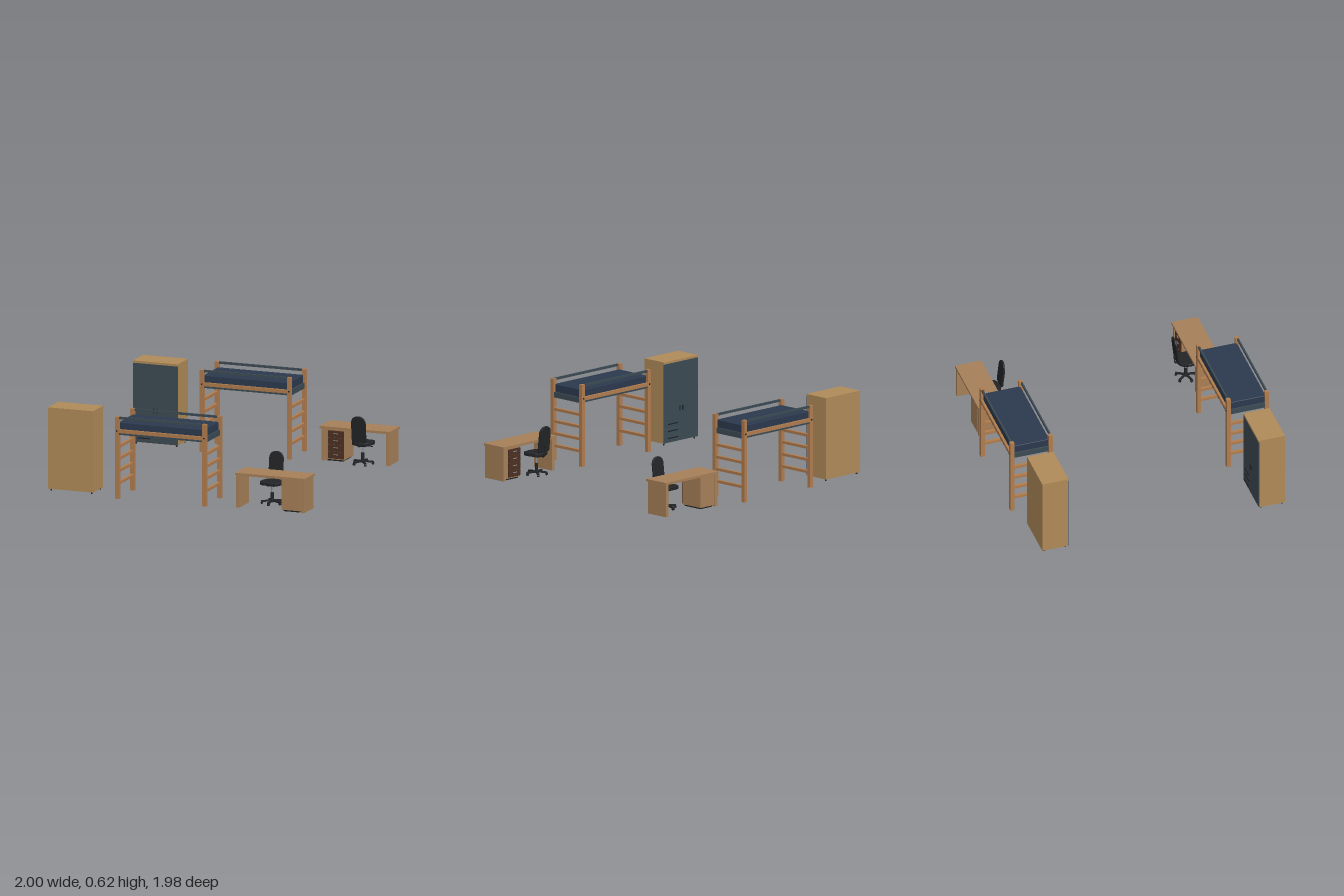
import * as THREE from 'three';
import { RoundedBoxGeometry } from 'three/addons/geometries/RoundedBoxGeometry.js';

const mat = (color) => new THREE.MeshStandardMaterial({ color });
const M = {
  oak: mat(0xb08a58), deskWood: mat(0xa67f58), bedWood: mat(0xb07c4e), navy: mat(0x2b394e),
  slate: mat(0x3c4a53), drawer: mat(0x4c3023), black: mat(0x232426), metal: mat(0x8a8c8e), dark: mat(0x1d2022),
};

function add(parent, name, geo, material, x = 0, y = 0, z = 0) {
  const m = new THREE.Mesh(geo, material);
  m.name = name;
  m.position.set(x, y, z);
  parent.add(m);
  return m;
}

// Box given by its minimum and maximum on each axis
function box(parent, name, material, [x0, x1], [y0, y1], [z0, z1]) {
  return add(parent, name, new THREE.BoxGeometry(x1 - x0, y1 - y0, z1 - z0), material,
    (x0 + x1) / 2, (y0 + y1) / 2, (z0 + z1) / 2);
}

function group(name) {
  const g = new THREE.Group();
  g.name = name;
  return g;
}

function wardrobe() {
  const g = group('wardrobe');
  box(g, 'cabinet', M.oak, [-0.175, 0.175], [0.015, 0.618], [-0.1, 0.094]);
  box(g, 'cabinetTop', M.oak, [-0.175, 0.175], [0.603, 0.618], [0.094, 0.1]);
  // Tall door on the right, shorter door over three drawers on the left
  box(g, 'rightDoor', M.slate, [0.001, 0.173], [0.017, 0.6], [0.094, 0.1]);
  box(g, 'leftDoor', M.slate, [-0.173, -0.001], [0.172, 0.6], [0.094, 0.1]);
  for (let i = 0; i < 3; i++) {
    const y = 0.017 + i * 0.052;
    box(g, 'drawerFront', M.slate, [-0.173, -0.001], [y, y + 0.05], [0.094, 0.1]);
    box(g, 'drawerHandle', M.dark, [-0.135, -0.04], [y + 0.029, y + 0.035], [0.1, 0.108]);
  }
  for (const x of [-0.014, 0.014])
    box(g, 'doorHandle', M.dark, [x - 0.003, x + 0.003], [0.24, 0.275], [0.1, 0.107]);
  for (const x of [-0.158, 0.158]) for (const z of [-0.08, 0.08])
    add(g, 'foot', new THREE.CylinderGeometry(0.006, 0.006, 0.016, 12), M.dark, x, 0.008, z);
  return g;
}

function bed() {
  const g = group('loftBed');
  for (const sx of [-1, 1]) {
    for (const sz of [-1, 1]) {
      box(g, 'post', M.bedWood, [sx * 0.339 - 0.015, sx * 0.339 + 0.015], [0, 0.607],
        [sz * 0.146 - 0.015, sz * 0.146 + 0.015]);
      const bolt = add(g, 'bolt', new THREE.CylinderGeometry(0.006, 0.006, 0.004, 12), M.dark,
        sx * 0.339, 0.503, sz * 0.162);
      bolt.rotation.x = Math.PI / 2;
    }
    // Ladder rungs at each end
    for (let i = 0; i < 4; i++) {
      const y = 0.112 + i * 0.09;
      box(g, 'rung', M.bedWood, [sx * 0.339 - 0.011, sx * 0.339 + 0.011], [y - 0.01, y + 0.01], [-0.132, 0.132]);
    }
    box(g, 'endRail', M.slate, [sx * 0.337 - 0.009, sx * 0.337 + 0.009], [0.468, 0.508], [-0.132, 0.132]);
  }
  // Long side rails and guard rails
  for (const sz of [-1, 1]) {
    box(g, 'sideRail', M.bedWood, [-0.325, 0.325], [0.488, 0.514], [sz * 0.15 - 0.01, sz * 0.15 + 0.01]);
    box(g, 'lowerRail', M.slate, [-0.325, 0.325], [0.474, 0.488], [sz * 0.147 - 0.008, sz * 0.147 + 0.008]);
    box(g, 'guardRail', M.slate, [-0.325, 0.325], [0.59, 0.607], [sz * 0.149 - 0.006, sz * 0.149 + 0.006]);
  }
  box(g, 'bedBase', M.dark, [-0.328, 0.328], [0.477, 0.492], [-0.14, 0.14]);
  add(g, 'mattress', new RoundedBoxGeometry(0.668, 0.073, 0.284, 2, 0.005), M.navy, 0, 0.5285, 0);
  return g;
}

function desk() {
  const g = group('desk');
  box(g, 'desktop', M.deskWood, [-0.272, 0.272], [0.238, 0.256], [-0.1, 0.1]);
  for (const sx of [-1, 1])
    box(g, 'sidePanel', M.deskWood, [sx * 0.251 - 0.013, sx * 0.251 + 0.013], [0, 0.238], [-0.096, 0.09]);
  // Drawer pedestal
  box(g, 'pedestal', M.deskWood, [-0.232, -0.088], [0.012, 0.238], [-0.098, 0.085]);
  box(g, 'pedestalPlinth', M.dark, [-0.22, -0.1], [0, 0.012], [-0.085, 0.075]);
  for (let i = 0; i < 4; i++) {
    const y = 0.02 + i * 0.052;
    box(g, 'drawerFront', M.drawer, [-0.21, -0.09], [y, y + 0.05], [0.085, 0.092]);
    box(g, 'drawerHandle', M.metal, [-0.168, -0.132], [y + 0.028, y + 0.033], [0.092, 0.097]);
  }
  return g;
}

function chair() {
  const g = group('officeChair');
  // Five-star base with casters
  for (let i = 0; i < 5; i++) {
    const arm = group('baseArm');
    arm.rotation.y = i * Math.PI * 2 / 5 + Math.PI / 2;
    const leg = box(arm, 'leg', M.black, [0.005, 0.08], [0.017, 0.029], [-0.007, 0.007]);
    leg.rotation.z = -0.1;
    const wheel = add(arm, 'caster', new THREE.CylinderGeometry(0.009, 0.009, 0.016, 14), M.black, 0.074, 0.009, 0);
    wheel.rotation.x = Math.PI / 2;
    g.add(arm);
  }
  add(g, 'hub', new THREE.CylinderGeometry(0.013, 0.017, 0.02, 16), M.black, 0, 0.025, 0);
  add(g, 'columnSleeve', new THREE.CylinderGeometry(0.012, 0.012, 0.055, 16), M.black, 0, 0.06, 0);
  add(g, 'gasLift', new THREE.CylinderGeometry(0.007, 0.007, 0.06, 16), M.metal, 0, 0.115, 0);
  box(g, 'mechanism', M.black, [-0.03, 0.03], [0.136, 0.15], [-0.035, 0.035]);
  const lever = add(g, 'lever', new THREE.CylinderGeometry(0.003, 0.003, 0.08, 8), M.black, 0.045, 0.142, 0.015);
  lever.rotation.z = Math.PI / 2;

  // Seat outline, narrowing toward the backrest
  const seat = new THREE.Shape();
  seat.moveTo(-0.05, 0.072);
  seat.quadraticCurveTo(0, 0.08, 0.05, 0.072);
  seat.bezierCurveTo(0.085, 0.065, 0.085, 0.01, 0.074, -0.02);
  seat.bezierCurveTo(0.066, -0.055, 0.045, -0.07, 0, -0.07);
  seat.bezierCurveTo(-0.045, -0.07, -0.066, -0.055, -0.074, -0.02);
  seat.bezierCurveTo(-0.085, 0.01, -0.085, 0.065, -0.05, 0.072);
  const seatGeo = new THREE.ExtrudeGeometry(seat, {
    depth: 0.014, bevelThickness: 0.005, bevelSize: 0.004, bevelOffset: -0.004, bevelSegments: 3, curveSegments: 10,
  });
  seatGeo.rotateX(-Math.PI / 2);
  add(g, 'seat', seatGeo, M.black, 0, 0.153, 0);

  // Support bar from under the seat to the backrest
  const bar = new THREE.CatmullRomCurve3([[0, 0.145, 0.02], [0, 0.146, 0.06], [0, 0.152, 0.08], [0, 0.185, 0.084], [0, 0.23, 0.087]]
    .map((p) => new THREE.Vector3(...p)));
  add(g, 'backSupport', new THREE.TubeGeometry(bar, 20, 0.007, 8), M.black);

  // Tall backrest with a rounded top, leaning back
  const back = new THREE.Shape();
  back.moveTo(-0.04, 0);
  back.lineTo(0.04, 0);
  back.quadraticCurveTo(0.055, 0, 0.056, 0.02);
  back.lineTo(0.056, 0.145);
  back.bezierCurveTo(0.054, 0.18, 0.03, 0.197, 0, 0.197);
  back.bezierCurveTo(-0.03, 0.197, -0.054, 0.18, -0.056, 0.145);
  back.lineTo(-0.056, 0.02);
  back.quadraticCurveTo(-0.055, 0, -0.04, 0);
  const rest = add(g, 'backrest', new THREE.ExtrudeGeometry(back, {
    depth: 0.006, bevelThickness: 0.004, bevelSize: 0.004, bevelOffset: -0.004, bevelSegments: 3, curveSegments: 10,
  }), M.black, 0, 0.178, 0.066);
  rest.rotation.x = 0.11;
  return g;
}

export function createModel() {
  const root = group('dormitoryFurniture');
  // Two rows facing each other across the room
  for (const side of [-1, 1]) {
    const place = (item, x) => {
      item.position.set(x, 0, side * 0.824);
      if (side > 0) item.rotation.y = Math.PI;
      root.add(item);
    };
    place(wardrobe(), -0.825);
    place(bed(), -0.101);
    const workplace = group('workplace');
    const seat = chair();
    seat.position.set(0.064, 0, 0.103);
    workplace.add(desk(), seat);
    place(workplace, 0.727);
  }
  return root;
}
